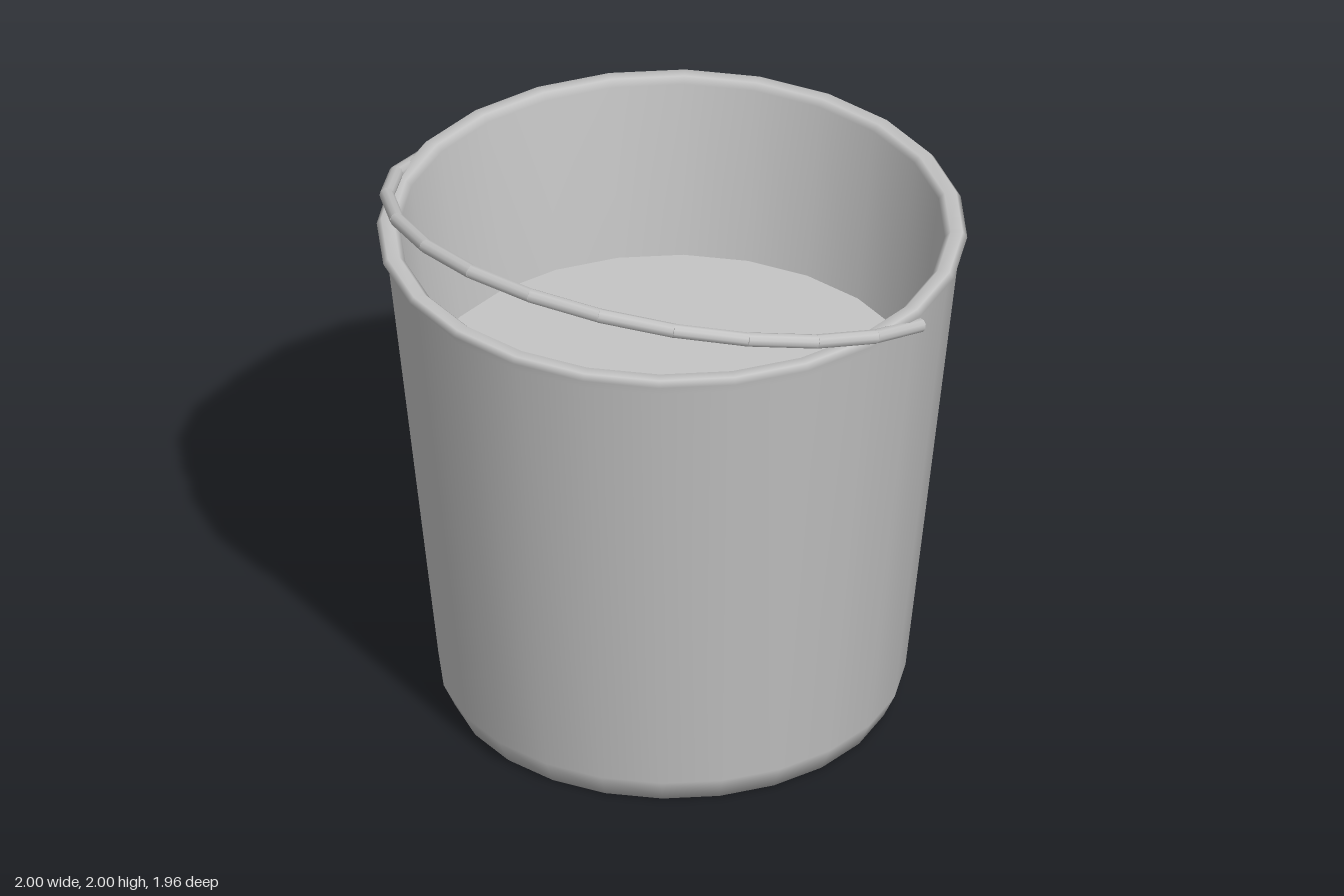
import * as THREE from 'three';

const steel = new THREE.MeshStandardMaterial({ color: 0xc4c4c4 });
steel.name = 'greyMetal';

const SIDES = 24;

function add(group, name, geometry) {
  const mesh = new THREE.Mesh(geometry, steel);
  mesh.name = name;
  group.add(mesh);
  return mesh;
}

// Carrying handle: straight rods along a half ring tilted to the front
function createHandle() {
  const handle = new THREE.Group();
  handle.name = 'handle';
  const rods = 12;
  const point = (i) => {
    const a = (i / rods) * Math.PI;
    return new THREE.Vector3(0.975 * Math.cos(a), 1.725 + 0.247 * Math.sin(a), 0.868 * Math.sin(a));
  };
  const up = new THREE.Vector3(0, 1, 0);
  for (let i = 0; i < rods; i++) {
    const a = point(i), b = point(i + 1);
    const dir = b.clone().sub(a);
    const rod = add(handle, 'handleRod', new THREE.CylinderGeometry(0.024, 0.024, dir.length() + 0.004, 10));
    rod.position.copy(a).add(b).multiplyScalar(0.5);
    rod.quaternion.setFromUnitVectors(up, dir.normalize());
  }
  return handle;
}

export function createModel() {
  const model = new THREE.Group();
  model.name = 'bucket';

  // Shell: underside, chamfer, outer wall, flared rim, inner wall
  const profile = [
    [0, 0], [0.735, 0], [0.775, 0.085], [0.955, 1.725],
    [0.98, 1.765], [0.965, 1.785], [0.925, 1.785], [0.905, 1.765], [0.835, 1.14],
  ].map(([r, y]) => new THREE.Vector2(r, y));
  add(model, 'shell', new THREE.LatheGeometry(profile, SIDES));

  // Flat surface inside the bucket
  const floor = new THREE.CircleGeometry(0.835, SIDES);
  floor.rotateX(-Math.PI / 2);
  floor.translate(0, 1.14, 0);
  add(model, 'innerFloor', floor);

  model.add(createHandle());
  return model;
}
